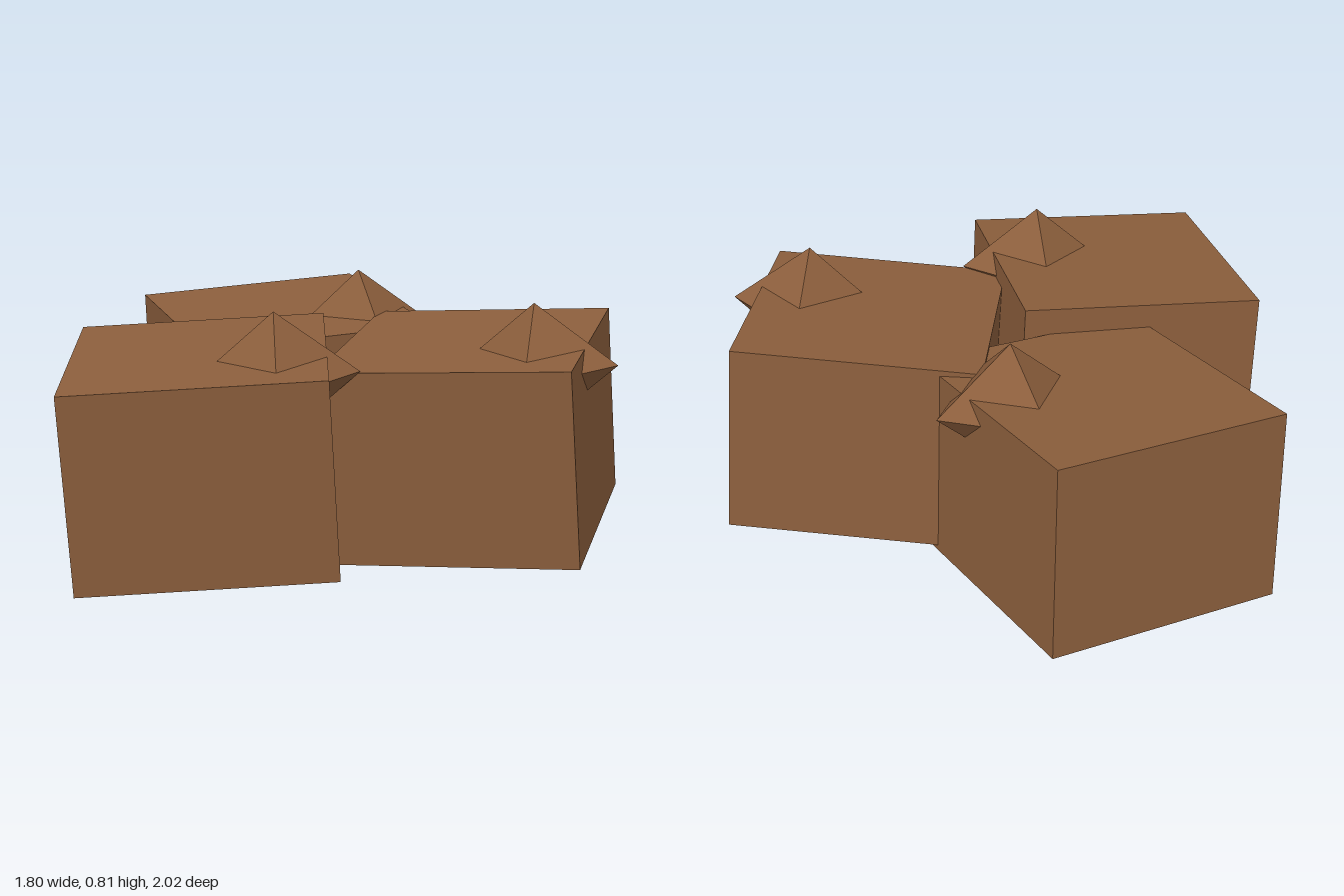
import * as THREE from 'three';

export function createModel() {
  const model = new THREE.Group();
  model.name = 'blockCluster';

  const brown = new THREE.MeshStandardMaterial({ color: 0x8b5e3c, flatShading: true });
  brown.name = 'earthBrown';

  const blockGeometry = new THREE.BoxGeometry(0.785, 0.615, 0.84);
  const spikeGeometry = new THREE.OctahedronGeometry(0.25).scale(1, 0.8, 1);

  // One tilted block with a squat octahedral spike poking through its top and right side
  function addBlock(name, x, z, yaw) {
    const turn = new THREE.Group();
    turn.name = name;
    turn.position.set(x, 0.36, z);
    turn.rotation.y = yaw;

    const tilt = new THREE.Group();
    tilt.name = name + 'Tilt';
    tilt.rotation.set(0.076, 0, 0.055);

    const block = new THREE.Mesh(blockGeometry, brown);
    block.name = 'block';

    const spike = new THREE.Mesh(spikeGeometry, brown);
    spike.name = 'spike';
    spike.position.set(0.24, 0.25, 0.125);

    tilt.add(block, spike);
    turn.add(tilt);
    model.add(turn);
  }

  // Three copies, each turned about the vertical
  addBlock('leftBlock', 0.42, 0.022, 0);
  addBlock('frontBlock', -0.34, 0.458, 0.291);
  addBlock('backBlock', -0.344, -0.428, 0.593);

  return model;
}
